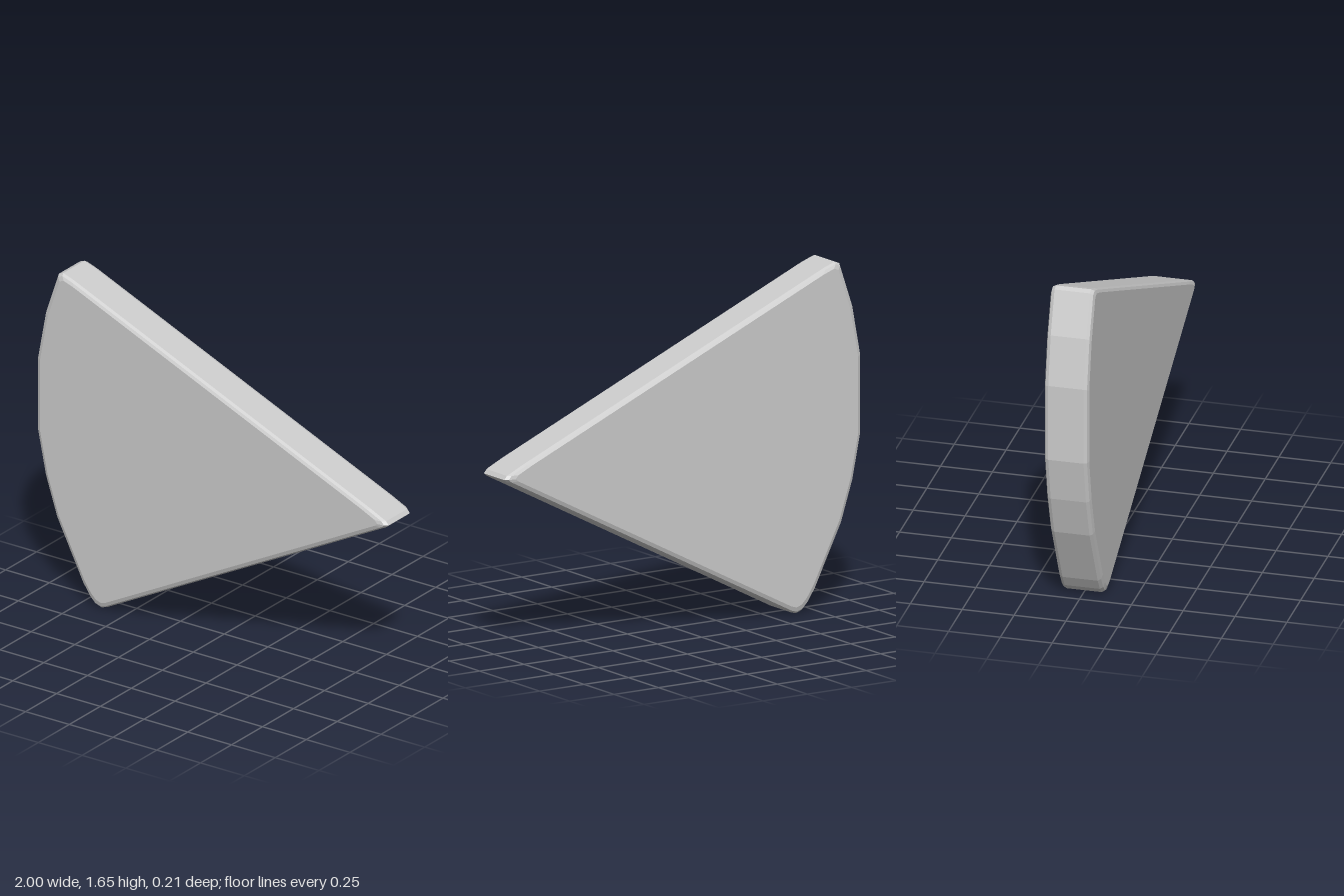
import * as THREE from 'three';

// Wedge outline, counter-clockwise from the tip: softened corners and a faceted arc.
const OUTLINE = [
  [1, 0.85], [0.985, 0.868], [0.9, 0.908], [-0.8, 1.634], [-0.86, 1.655], [-0.885, 1.645],
  [-0.955, 1.44], [-1, 1.2], [-1, 0.82], [-0.955, 0.6], [-0.89, 0.4], [-0.74, 0.1],
  [-0.7, 0.04], [-0.67, 0.01], [-0.64, 0], [-0.61, 0.009], [0.985, 0.837],
];

// Inscribed circle: scaling about its centre insets every edge equally.
const CENTRE = [-0.38, 0.9];
const RADIUS = 0.6;

// Thickness profile from back to front: [z, inset], with rounded rims.
const PROFILE = [
  [-0.107, 0.022], [-0.1, 0.007], [-0.085, 0], [0.085, 0], [0.1, 0.007], [0.107, 0.022],
];

function wedgeGeometry() {
  const n = OUTLINE.length;
  const positions = [];
  const index = [];

  // Rings of the cross-section
  for (const [z, inset] of PROFILE) {
    const s = 1 - inset / RADIUS;
    for (const [x, y] of OUTLINE) {
      positions.push(CENTRE[0] + (x - CENTRE[0]) * s, CENTRE[1] + (y - CENTRE[1]) * s, z);
    }
  }

  // Side walls and rims
  for (let r = 0; r < PROFILE.length - 1; r++) {
    for (let i = 0; i < n; i++) {
      const j = (i + 1) % n;
      const a = r * n + i, b = r * n + j, c = a + n, d = b + n;
      index.push(a, b, d, a, d, c);
    }
  }

  // Flat back and front faces
  const front = (PROFILE.length - 1) * n;
  const backHub = positions.length / 3;
  positions.push(...CENTRE, PROFILE[0][0], ...CENTRE, PROFILE[PROFILE.length - 1][0]);
  for (let i = 0; i < n; i++) {
    const j = (i + 1) % n;
    index.push(backHub, j, i, backHub + 1, front + i, front + j);
  }

  const geometry = new THREE.BufferGeometry();
  geometry.setAttribute('position', new THREE.Float32BufferAttribute(positions, 3));
  geometry.setIndex(index);
  geometry.computeVertexNormals();
  return geometry;
}

export function createModel() {
  const group = new THREE.Group();
  group.name = 'wedge';
  const material = new THREE.MeshStandardMaterial({ color: 0xcccccc, flatShading: true });
  const slab = new THREE.Mesh(wedgeGeometry(), material);
  slab.name = 'wedgeSlab';
  group.add(slab);
  return group;
}
